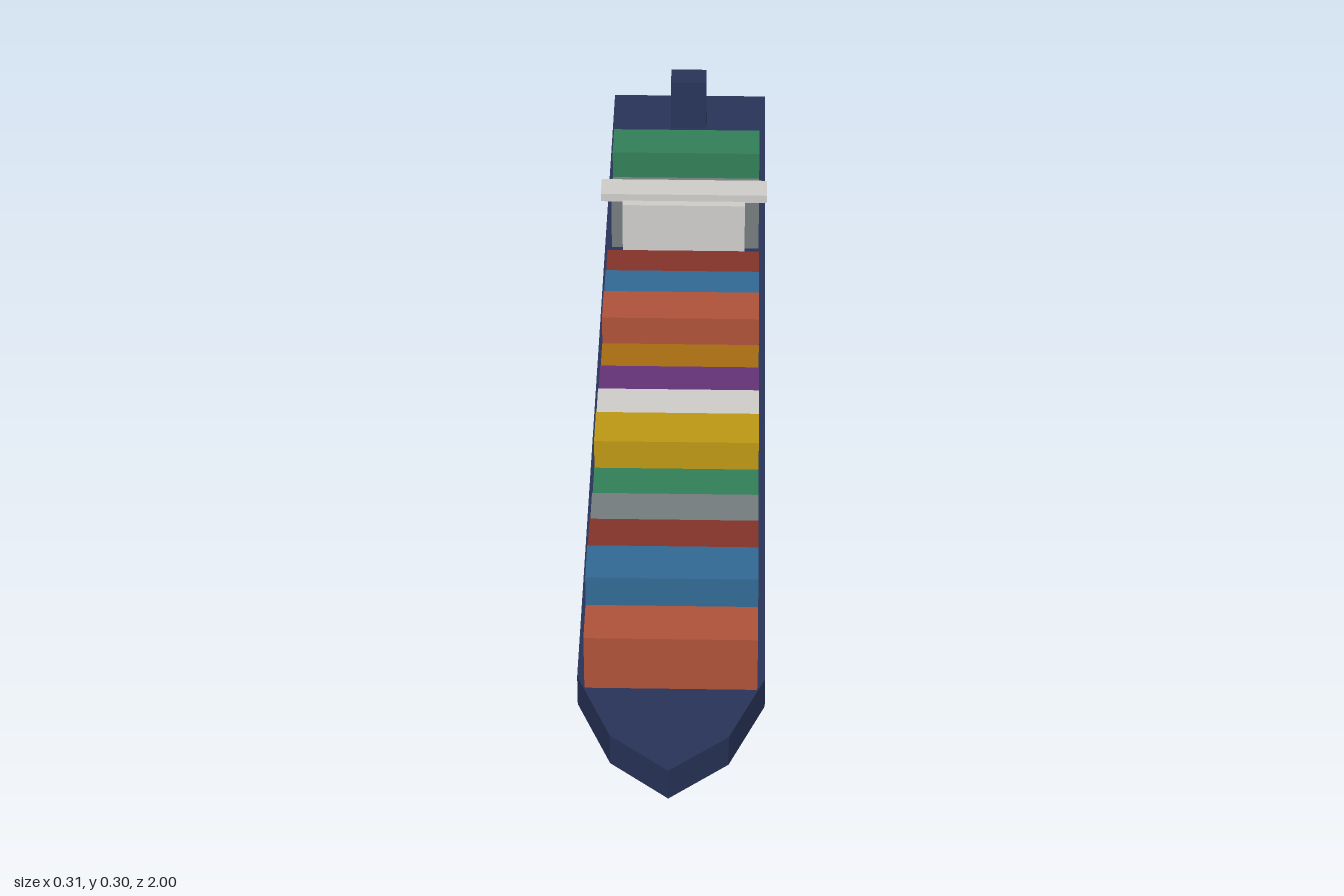
import * as THREE from 'three';

const COLORS = {
  navy: 0x28345a, hullRed: 0x85342a, orange: 0xb0533a, blue: 0x336a96, grey: 0x767d7f,
  green: 0x338058, yellow: 0xbd9914, white: 0xcfcecb, purple: 0x653378, ochre: 0xa66c12,
};

// Closed loft between two outlines of [x, z] points, with flat faces.
function loft(lower, y0, upper, y1) {
  const pos = [];
  const n = lower.length;
  const lo = (i) => [lower[i % n][0], y0, lower[i % n][1]];
  const up = (i) => [upper[i % n][0], y1, upper[i % n][1]];
  const tri = (...points) => points.forEach((p) => pos.push(...p));
  for (let i = 0; i < n; i++) {
    tri(lo(i), up(i), up(i + 1));
    tri(lo(i), up(i + 1), lo(i + 1));
  }
  for (let i = 1; i < n - 1; i++) {
    tri(up(0), up(i + 1), up(i));
    tri(lo(0), lo(i), lo(i + 1));
  }
  const geometry = new THREE.BufferGeometry();
  geometry.setAttribute('position', new THREE.Float32BufferAttribute(pos, 3));
  geometry.computeVertexNormals();
  return geometry;
}

// Ship outline, mirrored about the bow tip.
function outline(halfWidth, stern, shoulder, cheekX, cheekZ, tip) {
  const side = [[halfWidth, stern], [halfWidth, shoulder], [cheekX, cheekZ]];
  return [...side, [0, tip], ...side.map(([x, z]) => [-x, z]).reverse()];
}

export function createModel() {
  const ship = new THREE.Group();
  ship.name = 'containerShip';

  const materials = {};
  for (const [name, color] of Object.entries(COLORS)) {
    materials[name] = new THREE.MeshStandardMaterial({ color });
    materials[name].name = name;
  }
  const add = (name, geometry, color, parent = ship) => {
    const mesh = new THREE.Mesh(geometry, materials[color]);
    mesh.name = name;
    parent.add(mesh);
    return mesh;
  };
  const box = (name, color, width, y0, y1, depth, z, parent) => {
    const mesh = add(name, new THREE.BoxGeometry(width, y1 - y0, depth), color, parent);
    mesh.position.set(0, (y0 + y1) / 2, z);
    return mesh;
  };

  // Hull: straight topsides over a tapered red bottom
  const deckLine = outline(0.153, -1, 0.78, 0.095, 0.92, 1);
  const keelLine = outline(0.131, -0.83, 0.72, 0.085, 0.84, 0.91);
  add('hullTopsides', loft(deckLine, 0.02, deckLine, 0.08), 'navy');
  add('hullBottom', loft(keelLine, 0, deckLine, 0.02), 'hullRed');

  // Container stacks from bow to stern, leaving two bays for the bridge
  const stacks = new THREE.Group();
  stacks.name = 'containerStacks';
  ship.add(stacks);
  const bays = ['orange', 'blue', 'hullRed', 'grey', 'green', 'yellow', 'white', 'purple',
    'ochre', 'orange', 'blue', 'hullRed', 'grey', 'green'];
  const tops = [0.186, 0.237, 0.22, 0.203];
  bays.forEach((color, i) => {
    const slot = i < 12 ? i : i + 2;
    box(`containerStack${i + 1}`, color, 0.28, 0.08, tops[i % 4], 0.082, 0.766 - 0.09 * slot, stacks);
  });

  // Bridge house with its overhanging wings
  box('bridgeHouse', 'white', 0.226, 0.08, 0.282, 0.08, -0.336);
  box('bridgeWings', 'white', 0.306, 0.28, 0.296, 0.05, -0.336);

  // Funnel
  box('funnel', 'navy', 0.07, 0.11, 0.216, 0.05, -0.855);

  return ship;
}
